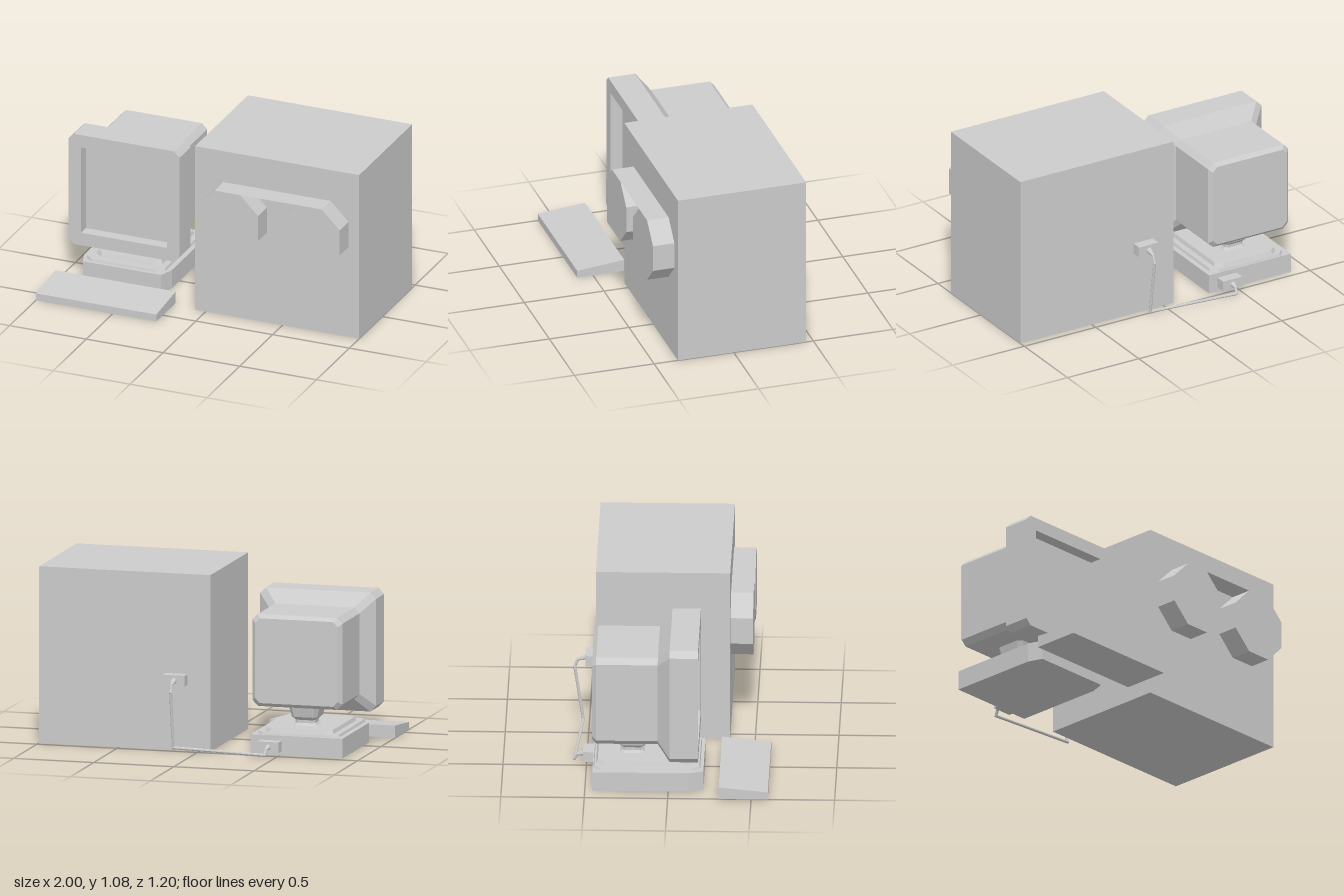
import * as THREE from 'three';

const grey = new THREE.MeshStandardMaterial({ color: 0xcccccc, flatShading: true });
const greyThin = new THREE.MeshStandardMaterial({ color: 0xcccccc, flatShading: true, side: THREE.DoubleSide });

function add(parent, name, geometry, x = 0, y = 0, z = 0, material = grey) {
  const mesh = new THREE.Mesh(geometry, material);
  mesh.name = name;
  mesh.position.set(x, y, z);
  parent.add(mesh);
  return mesh;
}

// Box given by its minimum and maximum corners
function box(parent, name, a, b) {
  const size = a.map((v, i) => b[i] - v);
  const mid = a.map((v, i) => (v + b[i]) / 2);
  return add(parent, name, new THREE.BoxGeometry(...size), ...mid);
}

// Rectangle with cut corners, counter-clockwise
function octagon(w, h, c) {
  return [[w, c - h], [w, h - c], [w - c, h], [c - w, h], [-w, h - c], [-w, c - h], [c - w, -h], [w - c, -h]];
}

// Skin over cut-corner sections [halfWidth, halfHeight, cut, z], ordered from high z to low z
function loft(sections, frontCap = true) {
  const pos = [], idx = [], n = 8;
  sections.forEach(([w, h, c, z]) => octagon(w, h, c).forEach(([x, y]) => pos.push(x, y, z)));
  const last = (sections.length - 1) * n;
  for (let s = 0; s < last; s += n) {
    for (let j = 0; j < n; j++) {
      const a = s + j, b = s + (j + 1) % n;
      idx.push(a, a + n, b + n, a, b + n, b);
    }
  }
  for (let j = 1; j < n - 1; j++) {
    if (frontCap) idx.push(0, j, j + 1);
    idx.push(last, last + j + 1, last + j);
  }
  const g = new THREE.BufferGeometry();
  g.setAttribute('position', new THREE.Float32BufferAttribute(pos, 3));
  g.setIndex(idx);
  const flat = g.toNonIndexed();
  flat.computeVertexNormals();
  return flat;
}

const toShape = (pts) => new THREE.Shape(pts.map(([x, y]) => new THREE.Vector2(x, y)));
const extrude = (shape, depth) => new THREE.ExtrudeGeometry(shape, { depth, bevelEnabled: false });

// Round rod from a to b, optionally tapering
function rod(parent, name, a, b, r0, r1 = r0) {
  const dir = b.clone().sub(a);
  const m = add(parent, name, new THREE.CylinderGeometry(r1, r0, dir.length(), 8), 0, 0, 0);
  m.position.copy(a).lerp(b, 0.5);
  m.quaternion.setFromUnitVectors(new THREE.Vector3(0, 1, 0), dir.normalize());
}

function createMonitor() {
  const g = new THREE.Group();
  g.name = 'monitor';
  g.position.set(-0.606, 0.57, 0);
  // Bezel with a square opening, and the sunken screen behind it
  const face = toShape(octagon(0.362, 0.362, 0.036));
  face.holes.push(toShape([[-0.28, -0.28], [-0.28, 0.28], [0.28, 0.28], [0.28, -0.28]]));
  add(g, 'bezel', extrude(face, 0.076), 0, 0, 0.104);
  add(g, 'screen', new THREE.PlaneGeometry(0.56, 0.56), 0, 0, 0.104);
  // Casing narrows to the rear housing, whose back edge is bevelled
  add(g, 'casing', loft([
    [0.362, 0.362, 0.036, 0.104], [0.362, 0.362, 0.036, 0.01],
    [0.28, 0.28, 0.034, -0.063], [0.28, 0.28, 0.034, -0.432], [0.258, 0.258, 0.03, -0.456],
  ], false));
  return g;
}

function createStand() {
  const g = new THREE.Group();
  g.name = 'stand';
  g.position.set(-0.606, 0, 0);
  const upright = (name, sections, z) => {
    add(g, name, loft(sections), 0, 0, z).rotation.x = -Math.PI / 2;
  };
  // Base slab with cut front corners (shape y becomes -z)
  const slab = toShape([[-0.286, -0.12], [-0.255, -0.21], [0.255, -0.21], [0.286, -0.12], [0.286, 0.455], [-0.286, 0.455]]);
  add(g, 'base', extrude(slab, 0.12)).rotation.x = -Math.PI / 2;
  // Stepped plates and flared neck
  upright('lowerPlate', [[0.25, 0.315, 0.04, 0.135], [0.256, 0.32, 0.04, 0.12]], -0.13);
  upright('upperPlate', [[0.205, 0.275, 0.04, 0.157], [0.214, 0.285, 0.04, 0.135]], -0.15);
  upright('neck', [
    [0.1, 0.1, 0.025, 0.295], [0.08, 0.08, 0.02, 0.21], [0.06, 0.06, 0.015, 0.19],
    [0.06, 0.06, 0.015, 0.172], [0.075, 0.075, 0.02, 0.155],
  ], -0.22);
  return g;
}

function createCabinet() {
  const g = new THREE.Group();
  g.name = 'cabinet';
  box(g, 'cabinetBody', [-0.07, 0, -0.455], [1, 1.075, 0.35]);
  // Eight-sided reels joined by a thin strip along their tops
  const cut = 0.4 / (2 + Math.SQRT2);
  for (const x of [0.198, 0.73]) {
    add(g, 'reel', extrude(toShape(octagon(0.2, 0.2, cut)), 0.135), x, 0.672, 0.35);
  }
  const strip = add(g, 'reelStrip', new THREE.PlaneGeometry(0.532, 0.135), 0.464, 0.872, 0.4175, greyThin);
  strip.rotation.x = -Math.PI / 2;
  return g;
}

function createKeyboard() {
  // Wedge profile drawn in (-z, y), extruded along x
  const profile = toShape([[-0.6, 0], [-0.305, 0], [-0.305, 0.075], [-0.6, 0.046]]);
  const geo = extrude(profile, 0.785);
  geo.rotateY(Math.PI / 2);
  const g = new THREE.Group();
  g.name = 'keyboard';
  add(g, 'keyboardBody', geo, -1, 0, 0);
  return g;
}

function createCable() {
  const g = new THREE.Group();
  g.name = 'cable';
  box(g, 'cabinetPlug', [0.073, 0.4, -0.52], [0.208, 0.466, -0.455]);
  box(g, 'standPlug', [-0.514, 0.026, -0.52], [-0.38, 0.09, -0.455]);
  const path = [
    [0.14, 0.434, -0.52], [0.14, 0.418, -0.568], [0.14, 0.372, -0.587], [0.14, 0.028, -0.535],
    [-0.44, 0.018, -0.574], [-0.446, 0.05, -0.555], [-0.447, 0.058, -0.52],
  ].map((p) => new THREE.Vector3(...p));
  const last = path.length - 1;
  for (let i = 0; i < last; i++) {
    // Cable thickens where it meets a plug
    rod(g, 'cableRun', path[i], path[i + 1], i === 0 ? 0.018 : 0.009, i === last - 1 ? 0.018 : 0.009);
    if (i > 0) add(g, 'cableBend', new THREE.IcosahedronGeometry(0.01, 1), ...path[i].toArray());
  }
  return g;
}

export function createModel() {
  const model = new THREE.Group();
  model.name = 'computer';
  model.add(createMonitor(), createStand(), createCabinet(), createKeyboard(), createCable());
  return model;
}
